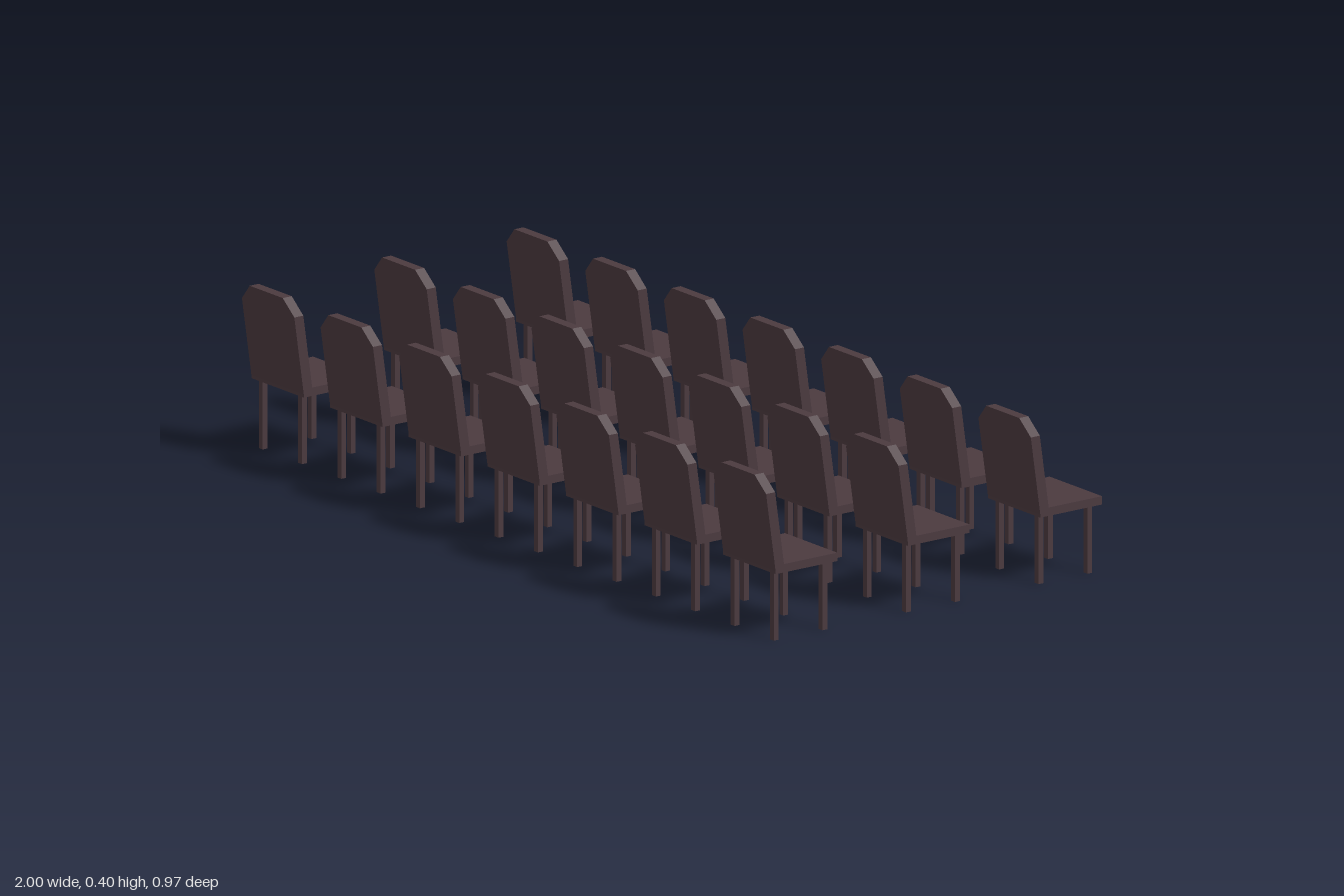
import * as THREE from 'three';

const wood = new THREE.MeshStandardMaterial({ color: 0x4b3a3f });
wood.name = 'darkWood';

// Backrest panel with cut top corners, sheared so that it leans away from the seat
function backrestGeometry() {
  const bottom = 0.165, top = 0.401, cut = 0.362, thickness = 0.026, lean = 0.034;
  const shape = new THREE.Shape([
    [-0.1, bottom], [0.1, bottom], [0.1, cut], [0.063, top], [-0.063, top], [-0.1, cut],
  ].map(([x, y]) => new THREE.Vector2(x, y)));
  const geometry = new THREE.ExtrudeGeometry(shape, { depth: thickness, bevelEnabled: false });
  const p = geometry.attributes.position;
  for (let i = 0; i < p.count; i++) {
    const t = (p.getY(i) - bottom) / (top - bottom);
    p.setZ(i, p.getZ(i) + 0.0715 - thickness + lean * t);
  }
  geometry.computeVertexNormals();
  return geometry;
}

export function createModel() {
  const model = new THREE.Group();
  model.name = 'chairRows';

  const seatGeometry = new THREE.BoxGeometry(0.2, 0.02, 0.178);
  const legGeometry = new THREE.BoxGeometry(0.015, 0.166, 0.014);
  const backGeometry = backrestGeometry();

  const add = (parent, name, geometry, x, y, z) => {
    const mesh = new THREE.Mesh(geometry, wood);
    mesh.name = name;
    mesh.position.set(x, y, z);
    parent.add(mesh);
  };

  // One chair, its seat pointing to -z
  function createChair() {
    const chair = new THREE.Group();
    chair.name = 'chair';
    add(chair, 'seat', seatGeometry, 0, 0.175, -0.0165);
    add(chair, 'backrest', backGeometry, 0, 0, 0);
    for (const x of [-0.075, 0.075]) {
      add(chair, 'backrestLeg', legGeometry, x, 0.083, 0.0575);
      add(chair, 'seatEdgeLeg', legGeometry, x, 0.083, -0.083);
    }
    return chair;
  }

  // Three rows of seven chairs
  for (let row = -1; row <= 1; row++) {
    for (let column = -3; column <= 3; column++) {
      const chair = createChair();
      chair.position.set(column * 0.3, 0, row * 0.3815);
      model.add(chair);
    }
  }
  return model;
}
